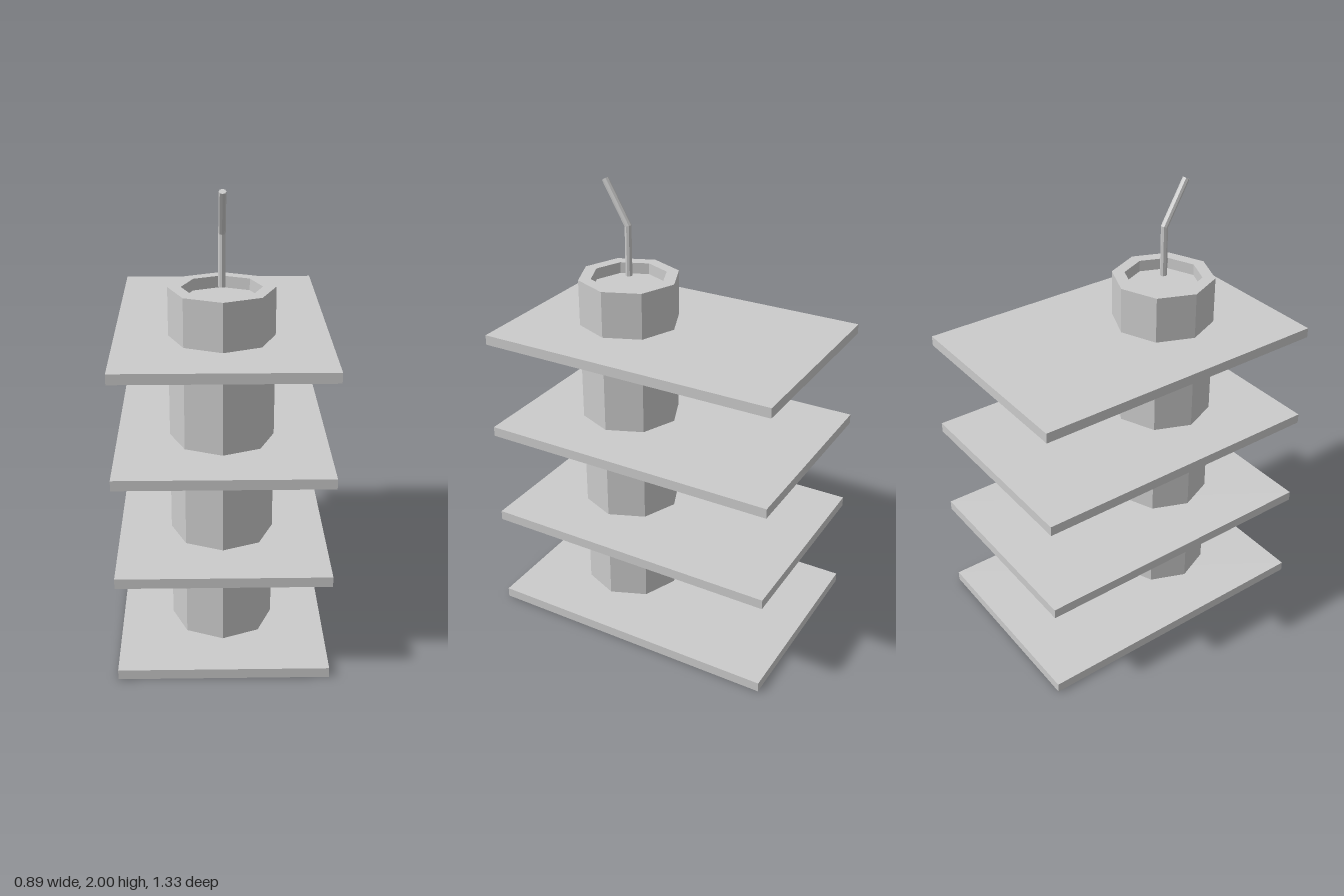
import * as THREE from 'three';

const material = new THREE.MeshStandardMaterial({ color: 0xcccccc, flatShading: true });

function add(group, name, geometry, x, y, z) {
  const mesh = new THREE.Mesh(geometry, material);
  mesh.name = name;
  mesh.position.set(x, y, z);
  group.add(mesh);
}

// Straight straw with a mitred bend leaning towards +z.
function bentStraw(radius, lower, upper, bend) {
  const geometry = new THREE.CylinderGeometry(radius, radius, 2, 8, 2);
  const p = geometry.attributes.position;
  for (let i = 0; i < p.count; i++) {
    const level = Math.round(p.getY(i));
    const z = p.getZ(i);
    if (level < 0) p.setY(i, -lower);
    else if (level === 0) p.setY(i, -z * Math.tan(bend / 2));
    else {
      p.setY(i, upper * Math.cos(bend) - z * Math.sin(bend));
      p.setZ(i, upper * Math.sin(bend) + z * Math.cos(bend));
    }
  }
  geometry.computeVertexNormals();
  return geometry;
}

export function createModel() {
  const model = new THREE.Group();
  model.name = 'shelvedCup';
  const slab = 0.044, pitch = 0.445, cupZ = 0.222, top = 1.585;

  // Four evenly stacked shelves
  for (let i = 0; i < 4; i++) {
    add(model, `shelf${i + 1}`, new THREE.BoxGeometry(0.89, slab, 1.333), 0, slab / 2 + i * pitch, 0);
  }

  // Eight-sided cup with a shallow recess inside the rim
  const profile = [[0, 0.02], [0.222, 0.02], [0.222, top], [0.167, top], [0.167, top - 0.05], [0, top - 0.05]]
    .map(([r, y]) => new THREE.Vector2(r, y));
  add(model, 'cup', new THREE.LatheGeometry(profile, 8), 0, 0, cupZ);

  // Bent straw above the cup
  add(model, 'straw', bentStraw(0.015, 1.806 - top, 0.215, Math.PI / 6), 0, 1.806, cupZ);

  return model;
}
